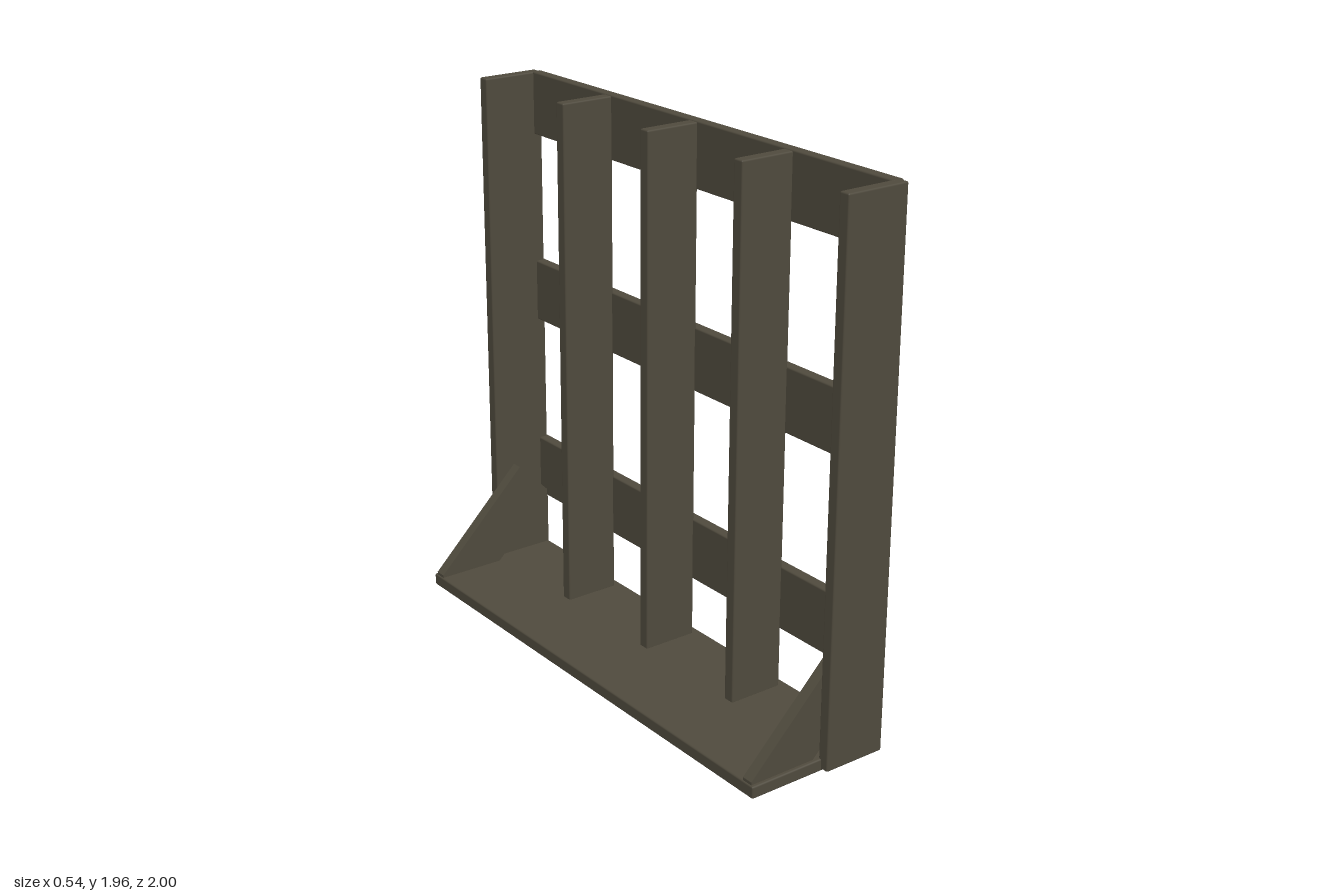
import * as THREE from 'three';
import { RoundedBoxGeometry } from 'three/addons/geometries/RoundedBoxGeometry.js';

export function createModel() {
  const group = new THREE.Group();
  const wood = new THREE.MeshStandardMaterial({ color: 0x4f4a3d });
  wood.name = 'dark weathered wood';

  // Plank given by its minimum and maximum corners, with slightly eased edges
  function plank(name, x0, x1, y0, y1, z0, z1) {
    const geo = new RoundedBoxGeometry(x1 - x0, y1 - y0, z1 - z0, 1, 0.006);
    const mesh = new THREE.Mesh(geo, wood);
    mesh.position.set((x0 + x1) / 2, (y0 + y1) / 2, (z0 + z1) / 2);
    mesh.name = name;
    group.add(mesh);
  }

  // Base board
  plank('baseBoard', -0.27, 0.26, 0, 0.045, -0.97, 0.97);

  // Outer posts
  plank('endPostFront', 0.02, 0.26, 0.008, 1.957, 0.957, 1);
  plank('endPostBack', 0.02, 0.26, 0.008, 1.957, -1, -0.957);

  // Inner uprights
  for (const z of [-0.488, 0, 0.488]) {
    plank('innerPost', 0.02, 0.23, 0.04, 1.955, z - 0.022, z + 0.022);
  }

  // Horizontal slats
  for (const y of [0.267, 0.995, 1.723]) {
    plank('slat', 0.226, 0.268, y, y + 0.235, -0.972, 0.972);
  }

  // Diagonal braces with a square-cut upper end
  const profile = new THREE.Shape([
    [-0.265, 0.04], [-0.01, 0.04], [0.235, 0.285], [0.1, 0.42], [-0.265, 0.055],
  ].map(([x, y]) => new THREE.Vector2(x, y)));
  const braceGeo = new THREE.ExtrudeGeometry(profile, { depth: 0.042, bevelEnabled: false });
  for (const z of [0.915, -0.957]) {
    const brace = new THREE.Mesh(braceGeo, wood);
    brace.position.z = z;
    brace.name = 'diagonalBrace';
    group.add(brace);
  }

  return group;
}
